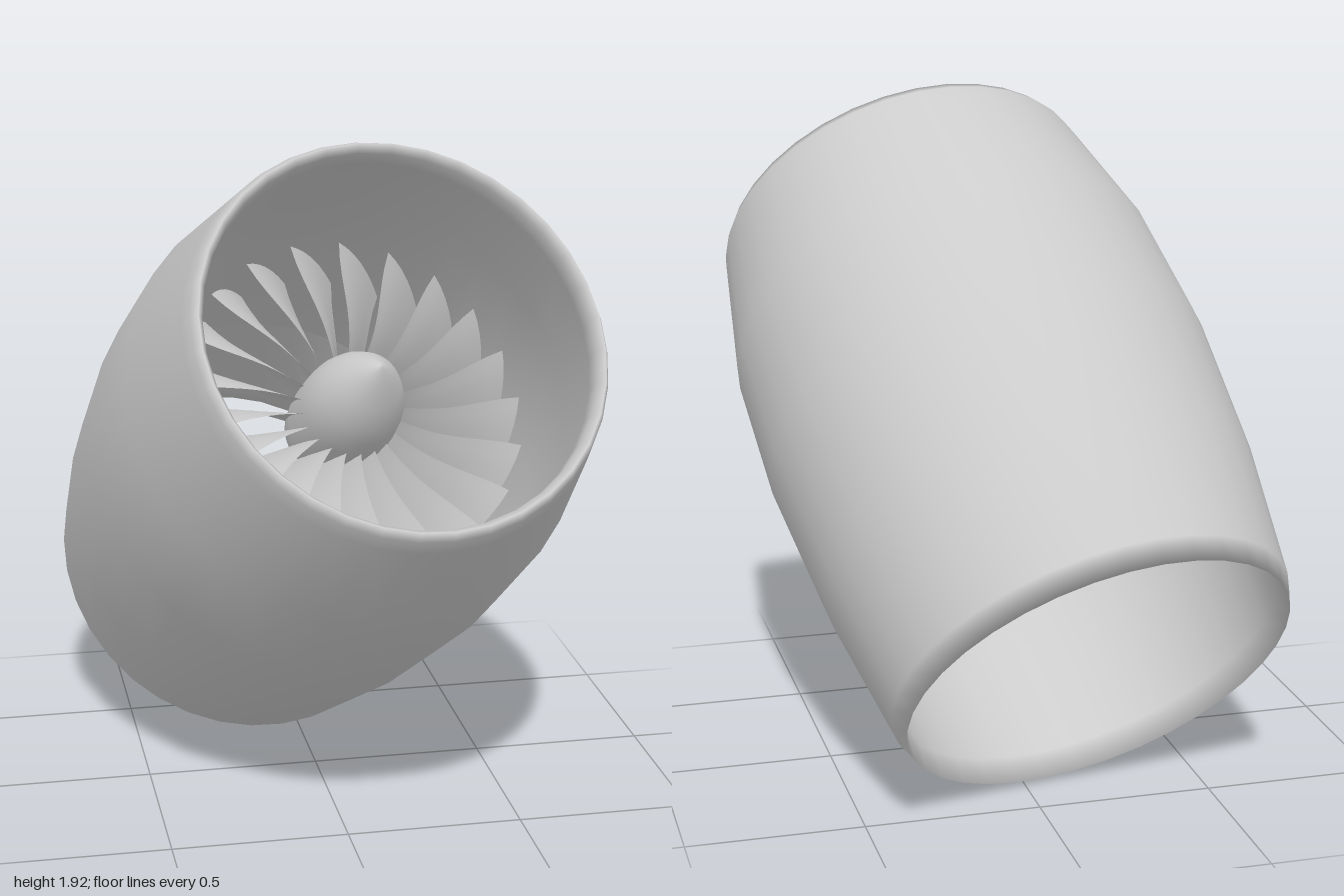
import * as THREE from 'three';

const BLADES = 21;
const grey = () => new THREE.MeshStandardMaterial({ color: 0xcccccc, side: THREE.DoubleSide });
const points = (list) => list.map(([r, a]) => new THREE.Vector2(r, a));

function lathe(name, profile, segments) {
  const mesh = new THREE.Mesh(new THREE.LatheGeometry(points(profile), segments), grey());
  mesh.name = name;
  return mesh;
}

// Twisted blade: a grid of span rows by chord columns
function bladeGeometry() {
  const rows = 8, cols = 6;
  const pos = [], index = [];
  for (let i = 0; i <= rows; i++) {
    const t = i / rows;
    const tangent = THREE.MathUtils.lerp(0.05, 0.19, t);
    const depth = THREE.MathUtils.lerp(0.19, 0.225, t);
    const sweep = 0.012 * Math.sin(t * Math.PI * 1.5);
    const front = 0.36 + 0.03 * t * t;
    for (let j = 0; j <= cols; j++) {
      const c = j / cols;
      const r = 0.11 + t * (0.382 - 0.015 * c * c);
      const side = tangent * (0.45 - c) - sweep;
      const angle = side / r;
      pos.push(r * Math.cos(angle), front - depth * c * (0.65 + 0.35 * c), -r * Math.sin(angle));
    }
  }
  for (let i = 0; i < rows; i++) {
    for (let j = 0; j < cols; j++) {
      const a = i * (cols + 1) + j, b = a + cols + 1;
      index.push(a, b, a + 1, b, b + 1, a + 1);
    }
  }
  const geo = new THREE.BufferGeometry();
  geo.setAttribute('position', new THREE.Float32BufferAttribute(pos, 3));
  geo.setIndex(index);
  geo.computeVertexNormals();
  return geo;
}

export function createModel() {
  const model = new THREE.Group();
  model.name = 'ductedFan';

  // Everything is built along +y (intake at the top), then tilted
  const engine = new THREE.Group();
  engine.name = 'engine';

  // Barrel-shaped duct: rear lip, outer skin, rounded intake lip, inner wall
  engine.add(lathe('duct', [
    [0.605, -0.39], [0.545, -0.77], [0.555, -0.848], [0.579, -0.785], [0.637, -0.39],
    [0.667, 0.04], [0.652, 0.42], [0.582, 0.77], [0.571, 0.82], [0.555, 0.847],
    [0.538, 0.82], [0.537, 0.77], [0.615, 0.42], [0.632, 0.04], [0.605, -0.39],
  ], 36));

  // Rounded spinner running into a hub with a closed back
  engine.add(lathe('spinner', [
    [0, 0.15], [0.12, 0.15], [0.137, 0.17], [0.144, 0.23], [0.145, 0.29], [0.143, 0.35],
    [0.136, 0.41], [0.118, 0.47], [0.088, 0.53], [0.047, 0.585], [0.018, 0.618], [0, 0.63],
  ], 32));

  // Ring of fan blades
  const fan = new THREE.Group();
  fan.name = 'fan';
  const geo = bladeGeometry(), material = grey();
  for (let i = 0; i < BLADES; i++) {
    const blade = new THREE.Mesh(geo, material);
    blade.name = 'fanBlade';
    blade.rotation.y = (i / BLADES) * Math.PI * 2 - 0.09;
    fan.add(blade);
  }
  engine.add(fan);

  // Tilt up, forward and slightly to the left
  const axis = new THREE.Vector3(0.145, 0.623, 0.769).normalize();
  engine.quaternion.setFromUnitVectors(new THREE.Vector3(0, 1, 0), axis);
  engine.position.set(-0.004, 0.965, 0);
  model.add(engine);
  return model;
}
